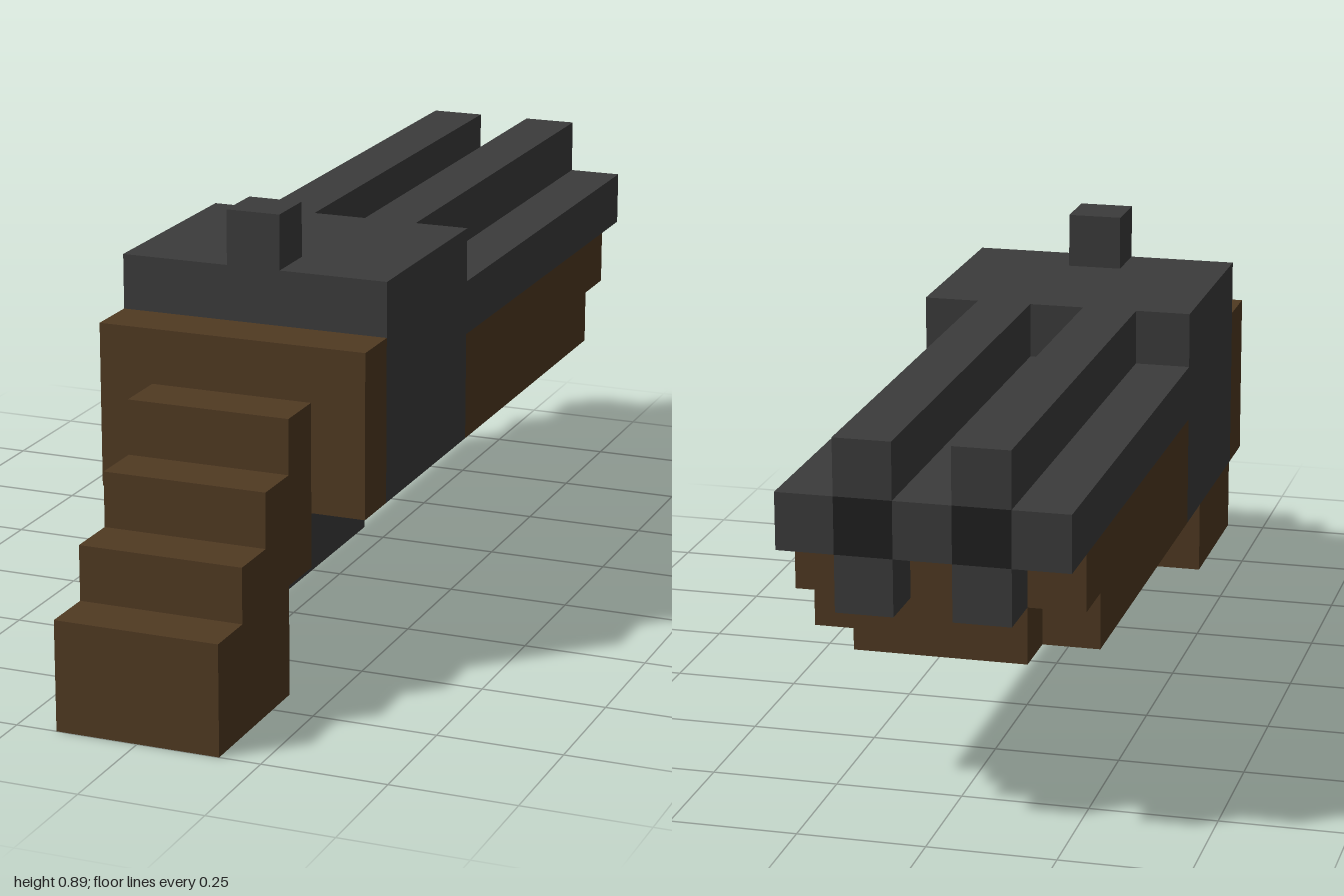
import * as THREE from 'three';

// Everything sits on a block grid: 18 blocks long, 5 wide, 8 tall
const U = 1 / 9;

export function createModel() {
  const model = new THREE.Group();
  const mat = (name, color) => {
    const m = new THREE.MeshStandardMaterial({ color });
    m.name = name;
    return m;
  };
  const steel = mat('dark steel', 0x3c3c3c);
  const wood = mat('brown wood', 0x503a22);
  const black = mat('bore black', 0x202020);

  // Box given by its ranges in grid blocks
  const block = (name, material, [x0, x1], [y0, y1], [z0, z1], parent = model) => {
    const geo = new THREE.BoxGeometry((x1 - x0) * U, (y1 - y0) * U, (z1 - z0) * U);
    const mesh = new THREE.Mesh(geo, material);
    mesh.name = name;
    mesh.position.set((x0 + x1) / 2 * U, (y0 + y1) / 2 * U, (z0 + z1) / 2 * U);
    parent.add(mesh);
  };
  const group = (name) => {
    const g = new THREE.Group();
    g.name = name;
    model.add(g);
    return g;
  };
  const full = [-2.5, 2.5], grip = [-1.5, 1.5], mid = [-0.5, 0.5];

  // Receiver with the rear sight
  block('receiver', steel, full, [3, 7], [0, 4]);
  block('rearSight', steel, mid, [7, 8], [3, 4]);

  // Trigger guard, one block thick, around a square opening
  const shape = new THREE.Shape();
  shape.moveTo(0, 1).lineTo(4, 1).lineTo(4, 3).lineTo(2, 3);
  shape.lineTo(2, 2).lineTo(1, 2).lineTo(1, 3).lineTo(0, 3);
  const guardGeo = new THREE.ExtrudeGeometry(shape, { depth: 1, bevelEnabled: false });
  guardGeo.translate(0, 0, -0.5).rotateY(-Math.PI / 2).scale(U, U, U);
  const guard = new THREE.Mesh(guardGeo, steel);
  guard.name = 'triggerGuard';
  model.add(guard);

  // Stepped stock: wide plate, then slices running down to the butt
  const stock = group('stock');
  block('stockPlate', wood, full, [3, 6], [4, 5], stock);
  [[2, 5], [0, 4], [0, 3], [0, 2]].forEach((y, i) =>
    block('stockStep' + (i + 1), wood, grip, y, [5 + i, 6 + i], stock));

  // Forend with its lower front corners notched
  const forend = group('forend');
  block('forendBody', wood, full, [3, 5], [-7, 0], forend);
  block('forendTipUpper', wood, full, [4, 5], [-8, -7], forend);
  block('forendTipLower', wood, grip, [3, 4], [-8, -7], forend);

  // Twin barrels: side rails share the middle one, each bore sits between four rails
  const barrels = group('barrels');
  for (const x of [-2, 0, 2]) block('sideRail', steel, [x - 0.5, x + 0.5], [5, 6], [-9, 0], barrels);
  for (const x of [-1, 1]) {
    const span = [x - 0.5, x + 0.5];
    block('topRail', steel, span, [6, 7], [-9, 0], barrels);
    block('lowerMuzzle', steel, span, [4, 5], [-9, -8], barrels);
    block('bore', black, span, [5, 6], [-9, 0], barrels);
  }
  return model;
}
